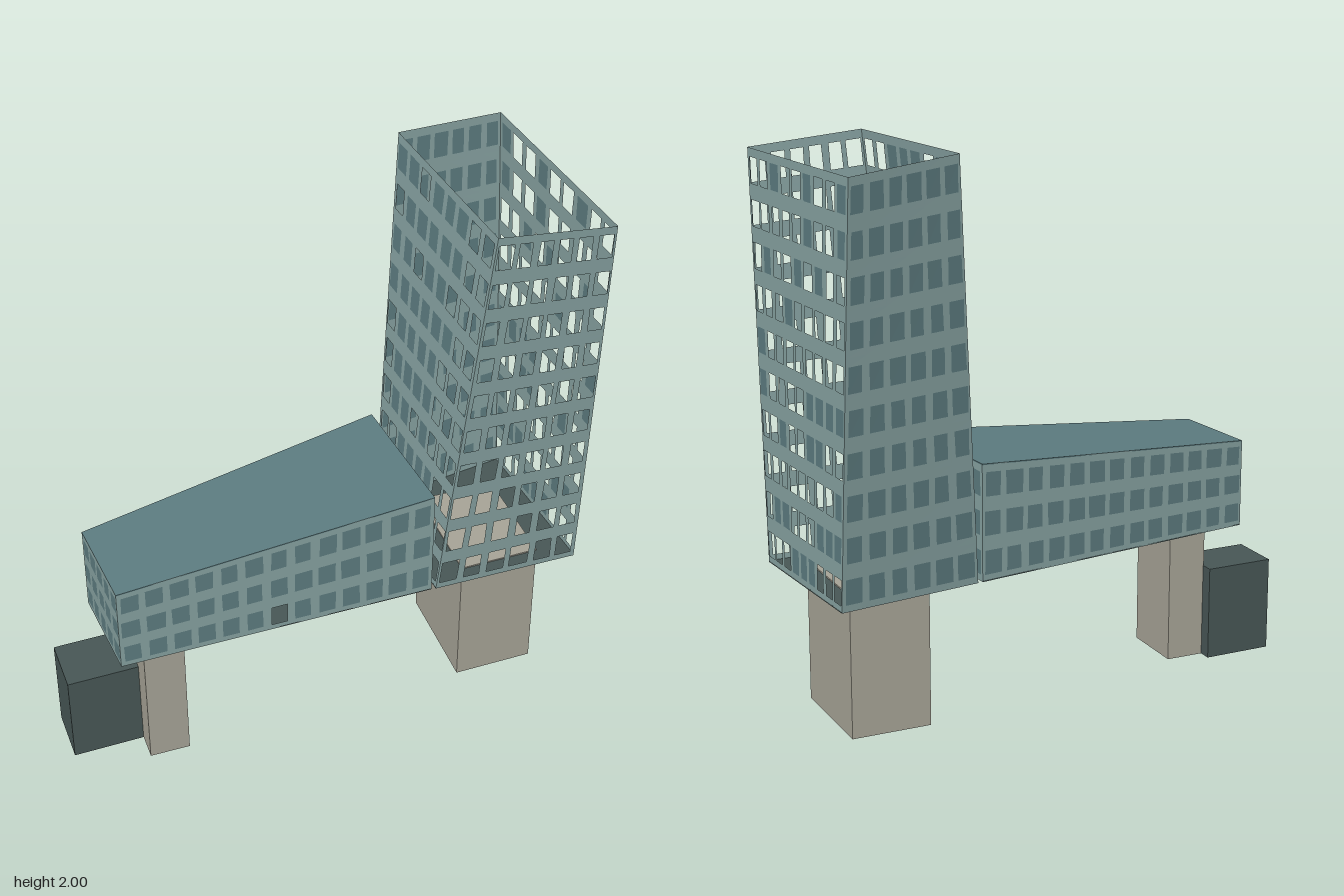
import * as THREE from 'three';

const flat = (name, color, side = THREE.FrontSide) => {
  const m = new THREE.MeshStandardMaterial({ color, side });
  m.name = name;
  return m;
};

// Seeded random numbers
function seeded(seed) {
  let s = seed;
  return () => (s = (s * 16807) % 2147483647) / 2147483647;
}

// Mesh from a list of four-cornered faces
function quadMesh(name, quads, material) {
  const pos = [];
  for (const [a, b, c, d] of quads) {
    for (const p of [a, b, c, a, c, d]) pos.push(p.x, p.y, p.z);
  }
  const g = new THREE.BufferGeometry();
  g.setAttribute('position', new THREE.Float32BufferAttribute(pos, 3));
  g.computeVertexNormals();
  const mesh = new THREE.Mesh(g, material);
  mesh.name = name;
  return mesh;
}

// Corners given as [x, z], counter-clockwise seen from above; y is a number or one per corner
const ring = (plan, y) =>
  plan.map(([x, z], i) => new THREE.Vector3(x, Array.isArray(y) ? y[i] : y, z));

// Closed four-sided block between two rings
function block(name, low, high, material) {
  const quads = [[...high], [...low].reverse()];
  for (let i = 0; i < 4; i++) {
    const j = (i + 1) % 4;
    quads.push([low[i], low[j], high[j], high[i]]);
  }
  return quadMesh(name, quads, material);
}

// Thin wall with a grid of window openings, some of them glazed
function windowWall(name, a, b, bTop, aTop, cols, rows, glazed, mats, rand) {
  const at = (u, v) =>
    a.clone().lerp(b, u).lerp(aTop.clone().lerp(bTop, u), v);
  const frame = [], panes = [];
  for (let r = 0; r < rows; r++) {
    for (let c = 0; c < cols; c++) {
      const cell = (u, v) => at((c + u) / cols, (r + v) / rows);
      const jitter = () => (rand() - 0.5) * 0.1;
      const l = 0.15 + jitter(), w = 0.85 + jitter(), lo = 0.17, hi = 0.79;
      const outer = [cell(0, 0), cell(1, 0), cell(1, 1), cell(0, 1)];
      const inner = [
        cell(l, lo), cell(w, lo),
        cell(w + jitter() * 0.6, hi), cell(l + jitter() * 0.6, hi),
      ];
      for (let i = 0; i < 4; i++) {
        const j = (i + 1) % 4;
        frame.push([outer[i], outer[j], inner[j], inner[i]]);
      }
      if (glazed(c, r)) panes.push(inner);
    }
  }
  const g = new THREE.Group();
  g.name = name;
  g.add(quadMesh(name + 'Frame', frame, mats.wall));
  if (panes.length) g.add(quadMesh(name + 'Panes', panes, mats.glass));
  return g;
}

export function createModel() {
  const rand = seeded(4711);
  const mats = {
    wall: flat('pale teal cladding', 0x86a1a0, THREE.DoubleSide),
    glass: flat('teal glass', 0x5c7b7f, THREE.DoubleSide),
    concrete: flat('warm grey concrete', 0xa6a396),
    dark: flat('dark slate', 0x475655),
  };
  const model = new THREE.Group();
  model.name = 'building';

  // Concrete supports and entrance block
  const corePlan = [[0.3, -0.32], [0.485, 0.05], [0.745, -0.085], [0.56, -0.45]];
  model.add(block('towerCore', ring(corePlan, 0), ring(corePlan, 0.52), mats.concrete));
  const pierPlan = [[-0.68, 0.38], [-0.57, 0.605], [-0.44, 0.54], [-0.55, 0.315]];
  model.add(block('wingPier', ring(pierPlan, 0), ring(pierPlan, 0.51), mats.concrete));
  const entrancePlan = [[-0.93, 0.455], [-0.84, 0.635], [-0.61, 0.515], [-0.7, 0.335]];
  model.add(block('entranceBlock', ring(entrancePlan, 0), ring(entrancePlan, 0.35), mats.dark));

  // Leaning tower, open at the top
  const tower = new THREE.Group();
  tower.name = 'tower';
  const towerPlan = [[0.135, -0.29], [0.4, 0.16], [0.88, -0.08], [0.57, -0.6]];
  const low = ring(towerPlan, 0.51);
  const high = ring([[0.18, -0.44], [0.55, 0.18], [0.92, 0], [0.51, -0.69]], [2, 2, 1.96, 1.96]);
  tower.add(block('towerFloor', low, ring(towerPlan, 0.515), mats.dark));
  const towerWalls = [
    ['courtWall', 8, (c) => c < 6 && rand() < 0.75],
    ['frontWall', 6, () => false],
    ['outerWall', 9, () => rand() < 0.28],
    ['backWall', 6, () => true],
  ];
  towerWalls.forEach(([name, cols, glazed], i) => {
    const j = (i + 1) % 4;
    tower.add(windowWall(name, low[i], low[j], high[j], high[i], cols, 10, glazed, mats, rand));
  });
  model.add(tower);

  // Low wing with a sloping roof
  const wing = new THREE.Group();
  wing.name = 'wing';
  const wingPlan = [[-0.81, 0.38], [-0.63, 0.685], [0.385, 0.165], [0.12, -0.28]];
  const eaves = [0.835, 0.835, 0.93, 0.93];
  const base = ring(wingPlan, 0.51);
  const top = ring(wingPlan, eaves);
  wing.add(block('wingFloor', base, ring(wingPlan, 0.515), mats.dark));
  wing.add(block('wingRoof', ring(wingPlan, eaves.map((y) => y - 0.004)), top, mats.glass));
  const wingWalls = [['wingEndWall', 5], ['wingFrontWall', 13], ['wingInnerWall', 6], ['wingBackWall', 13]];
  wingWalls.forEach(([name, cols], i) => {
    const j = (i + 1) % 4;
    const glazed = () => rand() < 0.97;
    wing.add(windowWall(name, base[i], base[j], top[j], top[i], cols, 3, glazed, mats, rand));
  });
  model.add(wing);

  return model;
}
